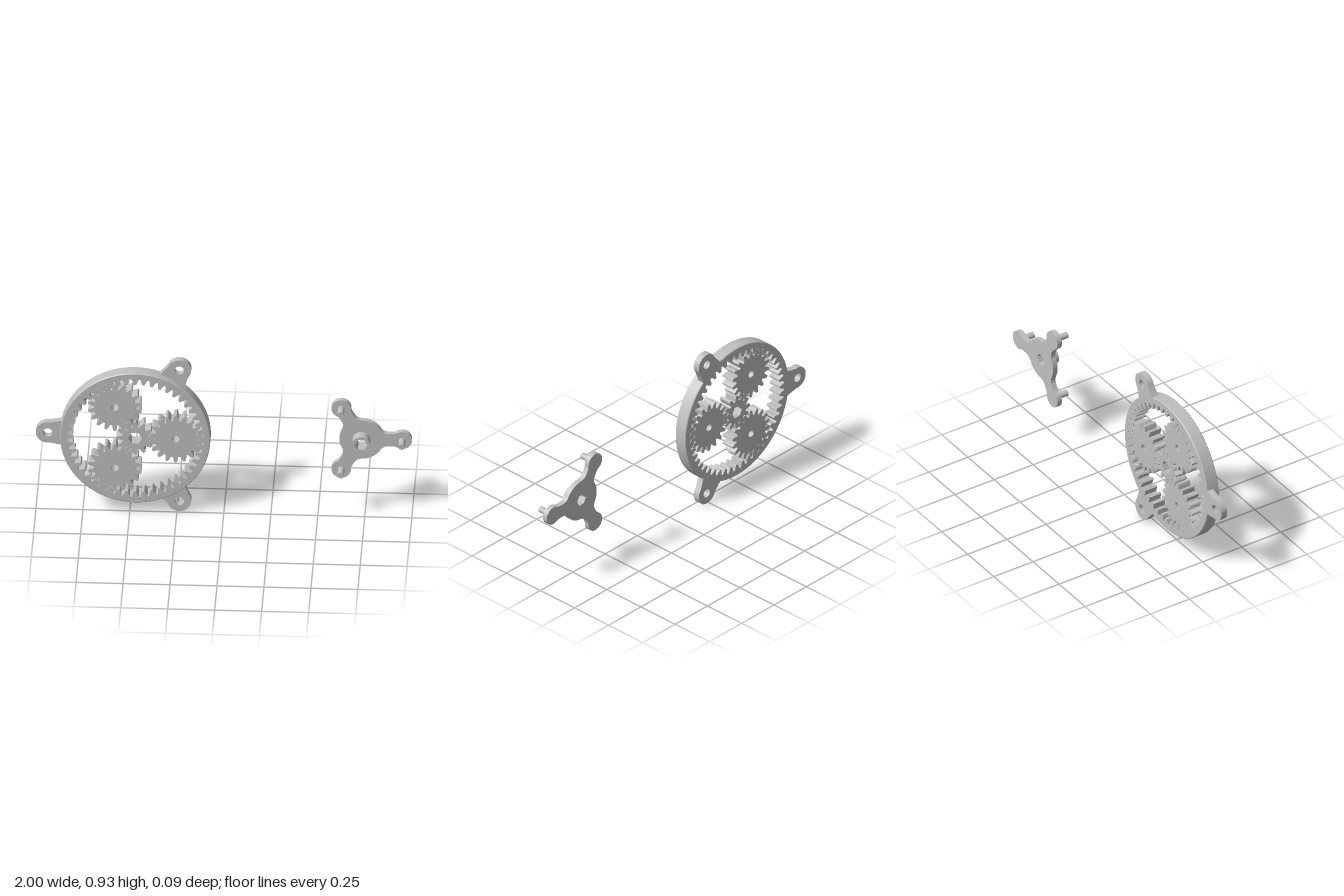
import * as THREE from 'three';
import { toCreasedNormals } from 'three/addons/utils/BufferGeometryUtils.js';

const BACK = -0.047, FRONT = 0.027;   // gear faces
const MODULE = 0.0144, ORBIT = 0.216; // tooth size, planet centre distance
const THIRD = Math.PI * 2 / 3;

const polar = (r, a, cx = 0, cy = 0) => new THREE.Vector2(cx + r * Math.cos(a), cy + r * Math.sin(a));

// Toothed outline; phase is the angle of the first tooth's middle
function gearPoints(teeth, phase, addendum, dedendum) {
  const r = teeth * MODULE / 2, half = Math.PI / teeth / 2;
  // radius and half-width of a tooth, from root to tip
  const flank = [
    [r - dedendum, 1.45], [r - dedendum * 0.75, 1.28], [r - dedendum * 0.35, 1.14],
    [r, 0.96], [r + addendum * 0.55, 0.73], [r + addendum * 0.9, 0.52], [r + addendum, 0.4],
  ];
  const pts = [];
  for (let i = 0; i < teeth; i++) {
    const mid = phase + i * Math.PI * 2 / teeth;
    flank.forEach(([rad, w]) => pts.push(polar(rad, mid - w * half)));
    [...flank].reverse().forEach(([rad, w]) => pts.push(polar(rad, mid + w * half)));
  }
  return pts;
}

function circlePath(r, x = 0, y = 0) {
  return new THREE.Path().absarc(x, y, r, 0, Math.PI * 2, false);
}

function hexPath(r) {
  return new THREE.Path([0, 1, 2, 3, 4, 5, 0].map(i => polar(r, i * Math.PI / 3)));
}

function plate(shape, z0, z1, curveSegments = 24) {
  const geo = new THREE.ExtrudeGeometry(shape, { depth: z1 - z0, bevelEnabled: false, curveSegments });
  geo.translate(0, 0, z0);
  return toCreasedNormals(geo, 0.5);
}

export function createModel() {
  const model = new THREE.Group();
  model.name = 'planetaryGearSet';
  const grey = new THREE.MeshStandardMaterial({ color: 0xbfbfbf });
  grey.name = 'grey';

  const add = (parent, name, geo) => {
    const mesh = new THREE.Mesh(geo, grey);
    mesh.name = name;
    parent.add(mesh);
    return mesh;
  };

  // Gear assembly
  const gears = new THREE.Group();
  gears.name = 'gearAssembly';
  gears.position.set(-0.471, 0.468, 0);
  model.add(gears);

  // Internal ring gear
  const ring = new THREE.Shape().absarc(0, 0, 0.388, 0, Math.PI * 2, false);
  ring.holes.push(new THREE.Path(gearPoints(48, Math.PI / 48, MODULE * 1.25, MODULE)));
  add(gears, 'ringGear', plate(ring, BACK, FRONT, 96));

  // Chamfered outer rim of the ring
  const c = 0.004;
  const rim = new THREE.LatheGeometry([
    new THREE.Vector2(0.388, BACK), new THREE.Vector2(0.4 - c, BACK), new THREE.Vector2(0.4, BACK + c),
    new THREE.Vector2(0.4, FRONT - c), new THREE.Vector2(0.4 - c, FRONT), new THREE.Vector2(0.388, FRONT),
  ], 96);
  rim.rotateX(Math.PI / 2);
  add(gears, 'ringRim', toCreasedNormals(rim, 0.5));

  // Mounting ears, flaring into the ring
  const ear = new THREE.Shape();
  ear.moveTo(0.378, -0.078);
  ear.lineTo(0.455, -0.0618);
  ear.absarc(0.467, 0, 0.063, -1.76, 1.76, false);
  ear.lineTo(0.378, 0.078);
  ear.closePath();
  ear.holes.push(circlePath(0.025, 0.467, 0));
  const earGeo = plate(ear, BACK, -0.01);
  for (let i = 0; i < 3; i++) {
    add(gears, 'mountingEar' + (i + 1), earGeo).rotation.z = Math.PI / 3 + i * THIRD;
  }

  // Sun gear with a hexagonal bore
  const sun = new THREE.Shape(gearPoints(12, 0, MODULE, MODULE * 1.25));
  sun.holes.push(hexPath(0.037));
  add(gears, 'sunGear', plate(sun, BACK, FRONT));

  // Three planet gears
  const planet = new THREE.Shape(gearPoints(18, Math.PI / 18, MODULE, MODULE * 1.25));
  planet.holes.push(circlePath(0.02));
  const planetGeo = plate(planet, BACK, FRONT);
  for (let i = 0; i < 3; i++) {
    const mesh = add(gears, 'planetGear' + (i + 1), planetGeo);
    const p = polar(ORBIT, i * THIRD);
    mesh.position.set(p.x, p.y, 0);
    mesh.rotation.z = i * THIRD;
  }

  // Planet carrier
  const carrier = new THREE.Group();
  carrier.name = 'carrier';
  carrier.position.set(0.732, 0.468, 0);
  model.add(carrier);

  // Three-armed plate: hub arc, filleted neck, round tip
  const spider = new THREE.Shape();
  for (let i = 0; i < 3; i++) {
    const a = i * THIRD;
    const at = (u, v) => {
      const p = new THREE.Vector2(u, v).rotateAround(new THREE.Vector2(), a);
      return [p.x, p.y];
    };
    if (i === 0) spider.moveTo(...at(0.1, -0.0625));
    spider.quadraticCurveTo(...at(0.115, -0.038), ...at(0.143, -0.038));
    spider.lineTo(...at(0.163, -0.038));
    spider.quadraticCurveTo(...at(0.177, -0.038), ...at(0.185, -0.0418));
    spider.absarc(...at(ORBIT, 0), 0.052, a - 2.209, a + 2.209, false);
    spider.quadraticCurveTo(...at(0.177, 0.038), ...at(0.163, 0.038));
    spider.lineTo(...at(0.143, 0.038));
    spider.quadraticCurveTo(...at(0.115, 0.038), ...at(0.1, 0.0625));
    spider.absarc(0, 0, 0.118, a + 0.5586, a + THIRD - 0.5586, false);
  }
  spider.holes.push(hexPath(0.034));
  add(carrier, 'carrierPlate', plate(spider, BACK, -0.018));

  // Hub boss with the same hexagonal bore
  const hub = new THREE.Shape().absarc(0, 0, 0.0475, 0, Math.PI * 2, false);
  hub.holes.push(hexPath(0.034));
  add(carrier, 'carrierHub', plate(hub, -0.018, 0.038));

  // Planet pins
  const pin = new THREE.CylinderGeometry(0.0175, 0.0175, 0.077, 32);
  pin.rotateX(Math.PI / 2);
  for (let i = 0; i < 3; i++) {
    const p = polar(ORBIT, i * THIRD);
    add(carrier, 'planetPin' + (i + 1), pin).position.set(p.x, p.y, 0.0095);
  }

  return model;
}
